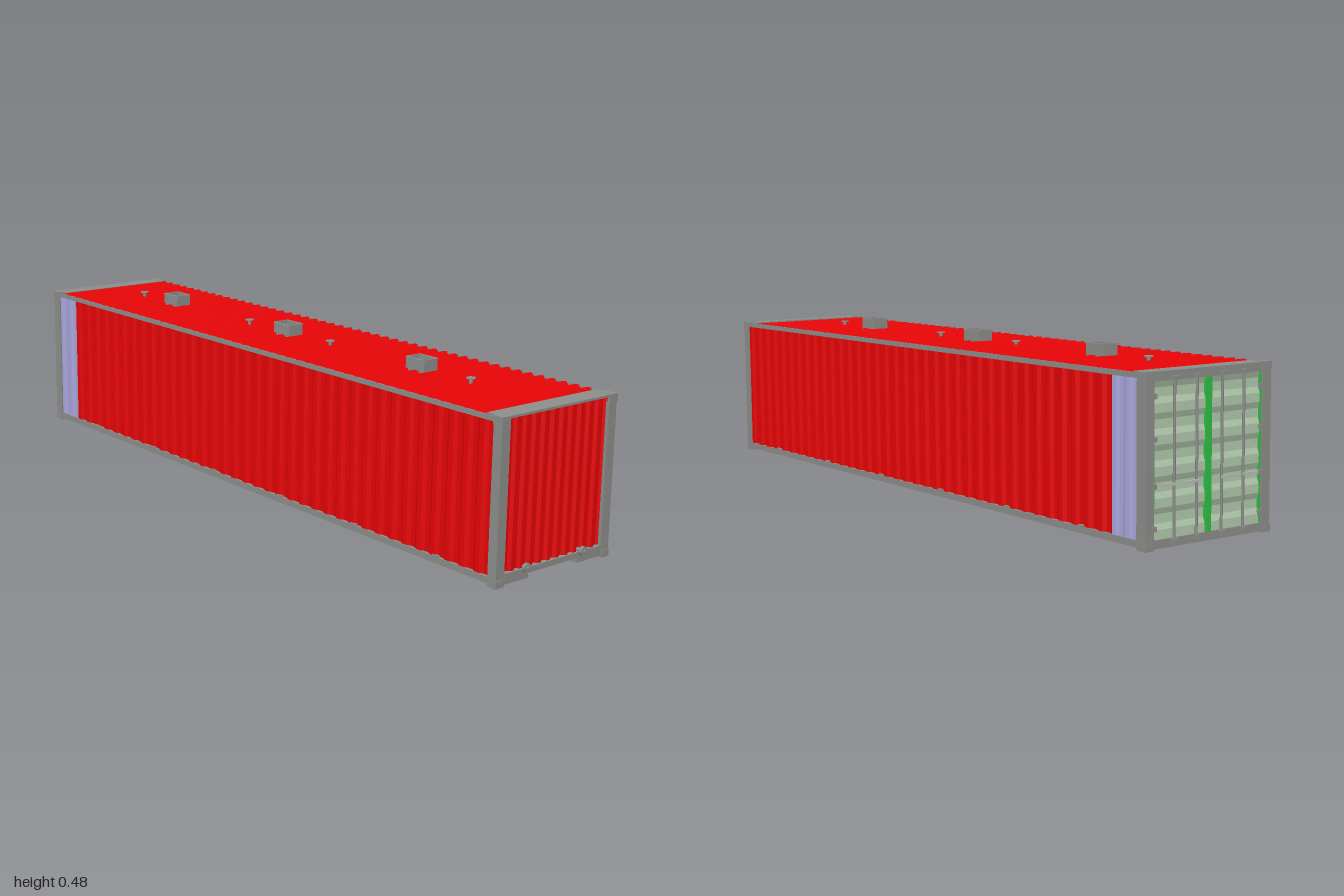
import * as THREE from 'three';

const mat = (name, color, side = THREE.FrontSide) => {
  const m = new THREE.MeshStandardMaterial({ color, side });
  m.name = name;
  return m;
};

export function createModel() {
  const red = mat('red panel', 0xe60305, THREE.DoubleSide);
  const lilac = mat('lilac panel', 0xaaa6dc, THREE.DoubleSide);
  const grey = mat('frame grey', 0x8c8e8a);
  const memberGrey = mat('cross member grey', 0xbcbcb4);
  const dark = mat('tunnel grey', 0x7a7a78);
  const brown = mat('floor brown', 0x7d5630);
  const doorGreen = mat('door grey green', 0xb2caac, THREE.DoubleSide);
  const gasketGreen = mat('gasket green', 0x2fbf45);

  const body = new THREE.Group();
  body.name = 'container';
  const L = 0.99, H = 0.418, W = 0.2;

  const add = (name, geo, material, x = 0, y = 0, z = 0) => {
    const mesh = new THREE.Mesh(geo, material);
    mesh.name = name;
    mesh.position.set(x, y, z);
    body.add(mesh);
    return mesh;
  };
  // Box given by its two extreme corners
  const box = (name, m, x0, x1, y0, y1, z0, z1) =>
    add(name, new THREE.BoxGeometry(x1 - x0, y1 - y0, z1 - z0), m, (x0 + x1) / 2, (y0 + y1) / 2, (z0 + z1) / 2);

  const X = new THREE.Vector3(1, 0, 0), Y = new THREE.Vector3(0, 1, 0), Z = new THREE.Vector3(0, 0, 1);
  const neg = (v) => v.clone().negate();
  // Trapezoid-corrugated sheet: ribs repeat along u, run along v; c is the centre of the outer plane
  const sheet = (name, m, u, v, c, lenU, lenV, ribs, depth) => {
    const n = new THREE.Vector3().crossVectors(u, v);
    const profile = [];
    const pitch = lenU / ribs;
    for (let i = 0; i < ribs; i++) {
      const s = -lenU / 2 + i * pitch;
      for (const [f, d] of [[0, 0], [0.3, 0], [0.5, -depth], [0.8, -depth]]) profile.push([s + f * pitch, d]);
    }
    profile.push([lenU / 2, 0]);
    const pos = [];
    for (let i = 0; i < profile.length - 1; i++) {
      const [a, da] = profile[i], [b, db] = profile[i + 1], h = lenV / 2;
      pos.push(a, -h, da, b, -h, db, b, h, db, a, -h, da, b, h, db, a, h, da);
    }
    const geo = new THREE.BufferGeometry();
    geo.setAttribute('position', new THREE.Float32BufferAttribute(pos, 3));
    geo.applyMatrix4(new THREE.Matrix4().makeBasis(u, v, n));
    geo.computeVertexNormals();
    add(name, geo, m, ...c);
  };

  // Side walls with a lilac section next to the doors
  for (const s of [1, -1]) {
    const u = s > 0 ? X : neg(X);
    sheet('sideWall', red, u, Y, [0.0495, 0.214, s * 0.195], 1.827, 0.388, 36, 0.006);
    sheet('sidePanel', lilac, u, Y, [-0.9125, 0.214, s * 0.195], 0.097, 0.388, 2, 0.004);
  }
  // Closed end wall and roof
  sheet('endWall', red, neg(Z), Y, [0.981, 0.221, 0], 0.346, 0.386, 11, 0.008);
  sheet('roof', red, X, neg(Z), [-0.005, 0.4155, 0], 1.88, 0.393, 48, 0.007);

  // Corner castings with an oval socket plate on each end face
  const castingGeo = new THREE.BoxGeometry(0.031, 0.02, 0.027);
  const socketGeo = new THREE.CylinderGeometry(1, 1, 0.002, 16).rotateZ(Math.PI / 2).scale(1, 0.0075, 0.005);

  // Frame: castings, posts, side rails
  for (const s of [1, -1]) {
    const zs = (a, b) => (s > 0 ? [a, b] : [-b, -a]);
    for (const e of [1, -1]) {
      for (const y of [0.01, H - 0.01]) {
        add('cornerCasting', castingGeo, grey, e * (L - 0.0155), y, s * (W - 0.0135));
        add('castingSocket', socketGeo, grey, e * L, y, s * (W - 0.0135));
      }
    }
    box('endPost', grey, 0.96, 0.988, 0.02, H - 0.02, ...zs(0.171, 0.199));
    box('doorPost', grey, -0.988, -0.957, 0.02, H - 0.02, ...zs(0.172, 0.199));
    box('topRail', grey, -0.96, 0.96, 0.402, 0.415, ...zs(0.193, 0.1975));
    box('bottomRail', grey, -0.96, 0.96, 0.006, 0.023, ...zs(0.187, 0.197));
    for (let i = 0; i < 6; i++) {
      const x = -0.75 + i * 0.306;
      box('railTab', grey, x - 0.01, x + 0.01, 0.02, 0.027, ...zs(0.19, 0.198));
    }
    // End sill on each side of the tunnel opening, and its hub
    box('endSill', grey, 0.96, 0.986, 0.004, 0.024, ...zs(0.086, 0.174));
    const hub = add('hub', new THREE.CylinderGeometry(0.0125, 0.0125, 0.009, 8), grey, 0.993, 0.034, s * 0.1);
    hub.rotation.z = Math.PI / 2;
    const pin = add('hubPin', new THREE.CylinderGeometry(0.005, 0.005, 0.03, 8), grey, 0.9872, 0.034, s * 0.1);
    pin.rotation.z = Math.PI / 2;
  }
  box('endSillTop', grey, 0.96, 0.986, 0.016, 0.031, -0.174, 0.174);
  box('endHeader', grey, 0.96, 0.987, 0.411, 0.4165, -0.174, 0.174);
  box('endRoofPlate', grey, 0.929, 0.987, 0.412, 0.417, -0.19, 0.19);
  box('doorSill', grey, -0.986, -0.957, 0.003, 0.024, -0.174, 0.174);
  box('doorHeader', grey, -0.986, -0.957, 0.394, 0.416, -0.174, 0.174);
  box('doorRoofPlate', grey, -0.987, -0.938, 0.412, 0.417, -0.19, 0.19);

  // Doors: ribbed leaves, green gaskets, lock rods, handles and hinges
  for (const s of [1, -1]) {
    sheet('doorLeaf', doorGreen, Y, neg(Z), [-0.982, 0.209, s * 0.087], 0.37, 0.164, 5, 0.005);
    const zs = (a, b) => (s > 0 ? [a, b] : [-b, -a]);
    box('centreGasket', gasketGreen, -0.986, -0.974, 0.024, 0.394, ...zs(0, 0.009));
    box('sideGasket', gasketGreen, -0.983, -0.974, 0.024, 0.394, ...zs(0.167, 0.172));
    for (const z of [0.04, 0.11]) {
      add('lockRod', new THREE.CylinderGeometry(0.0035, 0.0035, 0.385, 8), grey, -0.9875, 0.209, s * z);
      for (const y of [0.018, 0.4]) box('rodGuide', grey, -0.996, -0.98, y - 0.005, y + 0.005, ...zs(z - 0.007, z + 0.007));
      box('lockHandle', memberGrey, -0.994, -0.99, 0.149, 0.155, ...zs(z - 0.005, z + 0.045));
    }
    for (const y of [0.05, 0.15, 0.26, 0.36]) box('hinge', grey, -0.989, -0.98, y - 0.006, y + 0.006, ...zs(0.164, 0.178));
  }

  // Floor and shallow cross members, cut short beside the tunnel
  box('floor', brown, -0.96, 0.96, 0.019, 0.028, -0.188, 0.188);
  for (let i = 0; i < 32; i++) {
    const x = -0.92 + i * 0.0595;
    const spans = x < 0.39 ? [[-0.188, 0.188]] : [[0.098, 0.188], [-0.188, -0.098]];
    for (const [z0, z1] of spans) box('crossMember', memberGrey, x - 0.0115, x + 0.0115, 0.016, 0.02, z0, z1);
  }

  // Tunnel under the closed end
  box('tunnelPlate', dark, 0.405, 0.96, 0.013, 0.02, -0.088, 0.088);
  for (let i = 0; i < 16; i++) {
    const x = 0.43 + i * 0.034;
    box('tunnelRib', dark, x - 0.008, x + 0.008, 0.012, 0.0135, -0.087, 0.087);
  }
  for (const z of [0.0935, -0.0935]) box('tunnelBeam', grey, 0.4, 0.96, 0.009, 0.02, z - 0.0065, z + 0.0065);
  box('tunnelEnd', grey, 0.393, 0.412, 0.009, 0.02, -0.1, 0.1);

  // Open roof vents with a thin rim
  for (const x of [-0.59, -0.045, 0.505]) {
    for (const s of [1, -1]) {
      const a = s * 0.022, b = s * 0.033;
      box('ventSide', grey, x - 0.034, x + 0.034, 0.409, 0.446, a - 0.002, a + 0.002);
      box('ventEnd', grey, x + b - 0.002, x + b + 0.002, 0.409, 0.446, -0.022, 0.022);
      box('ventRim', grey, x - 0.034, x + 0.034, 0.4445, 0.446, s * 0.0245 - 0.0025, s * 0.0245 + 0.0025);
    }
  }
  // Small roof lugs
  for (const x of [-0.77, -0.225, 0.14, 0.685]) {
    add('lugStem', new THREE.CylinderGeometry(0.005, 0.005, 0.018, 8), grey, x, 0.416, 0);
    add('lugCap', new THREE.CylinderGeometry(0.013, 0.013, 0.003, 8), grey, x, 0.425, 0);
  }

  // The whole container leans slightly down towards its closed end
  body.rotation.z = -0.0185;
  body.position.set(-0.003, 0.0183, 0);
  const model = new THREE.Group();
  model.name = 'shippingContainer';
  model.add(body);
  return model;
}
